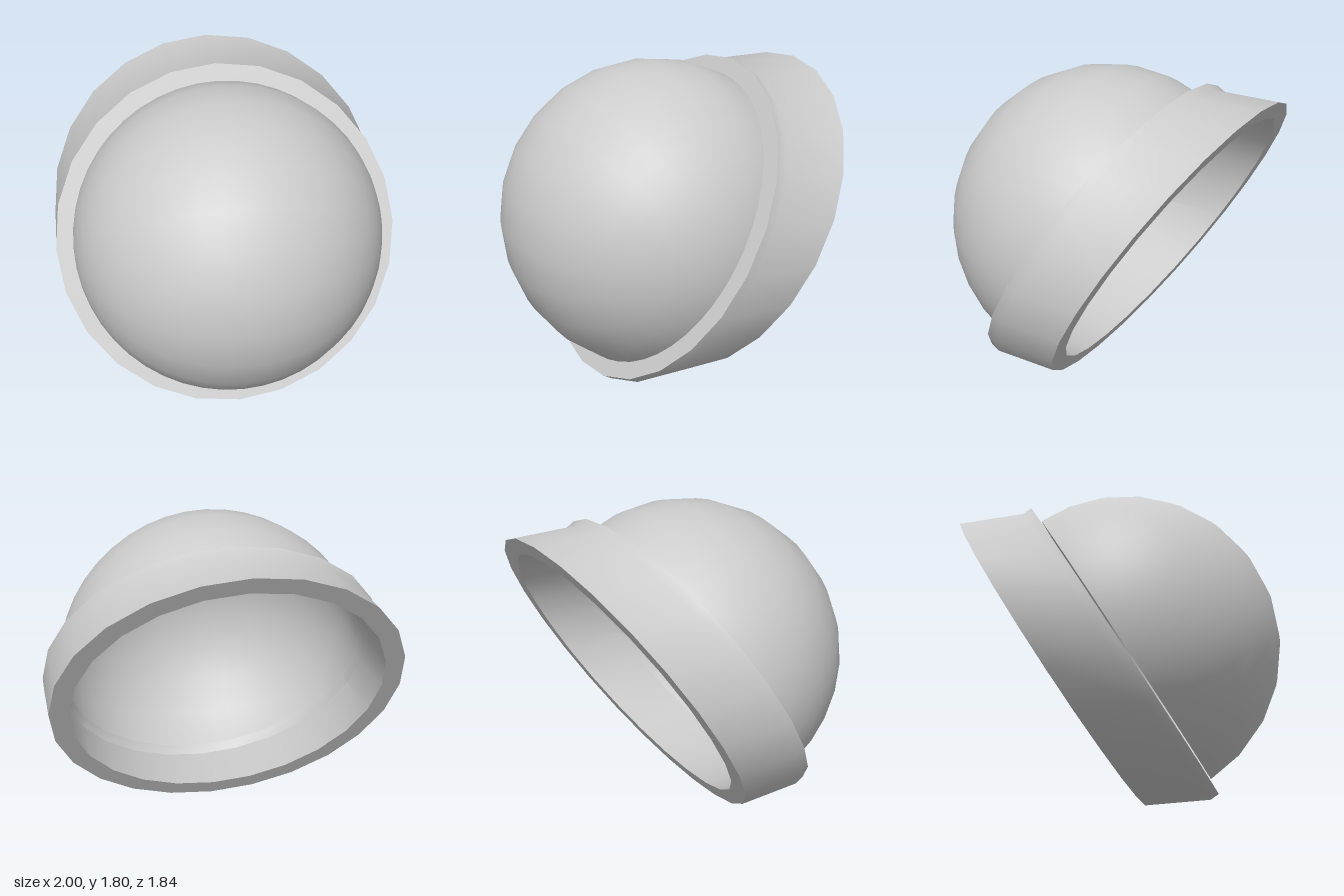
import * as THREE from 'three';
import { toCreasedNormals } from 'three/addons/utils/BufferGeometryUtils.js';

const TILT = Math.PI / 6;
const SIDES = 24;
const material = new THREE.MeshStandardMaterial({ color: 0xcccccc, side: THREE.DoubleSide });

// Closed loft through tilted circles, each given as [centre y, centre z, radius]
function tiltedLoft(sections) {
  const positions = [];
  const index = [];
  const n = sections.length;
  for (const [cy, cz, r] of sections) {
    for (let j = 0; j < SIDES; j++) {
      const a = (j / SIDES) * Math.PI * 2;
      const up = r * Math.sin(a);
      positions.push(r * Math.cos(a), cy + up * Math.cos(TILT), cz - up * Math.sin(TILT));
    }
  }
  for (let i = 0; i < n; i++) {
    for (let j = 0; j < SIDES; j++) {
      const k = (j + 1) % SIDES;
      const a = i * SIDES + j, b = i * SIDES + k;
      const c = ((i + 1) % n) * SIDES + j, d = ((i + 1) % n) * SIDES + k;
      index.push(a, c, b, b, c, d);
    }
  }
  const geometry = new THREE.BufferGeometry();
  geometry.setAttribute('position', new THREE.Float32BufferAttribute(positions, 3));
  geometry.setIndex(index);
  return toCreasedNormals(geometry, 0.6);
}

// Half sphere with its poles on the x axis, facing forward and up
function halfSphere(name, radius) {
  const geometry = new THREE.SphereGeometry(radius, SIDES / 2, SIDES, 0, Math.PI);
  geometry.rotateZ(Math.PI / 2).rotateX(-TILT);
  const mesh = new THREE.Mesh(geometry, material);
  mesh.name = name;
  mesh.position.set(0, 0.903, 0.015);
  return mesh;
}

export function createModel() {
  const model = new THREE.Group();
  model.name = 'domedCap';

  // Thin dome shell
  const dome = new THREE.Group();
  dome.name = 'dome';
  dome.add(halfSphere('domeOuter', 0.9), halfSphere('domeInner', 0.87));
  model.add(dome);

  // Slanted band: short straight lip, then swept level towards the back
  const band = new THREE.Mesh(tiltedLoft([
    [0.9, 0.006, 1],
    [0.87, -0.043, 1],
    [0.867, -0.425, 1],
    [0.867, -0.425, 0.89],
    [0.87, -0.043, 0.89],
    [0.9, 0.006, 0.87],
  ]), material);
  band.name = 'band';
  model.add(band);

  return model;
}
